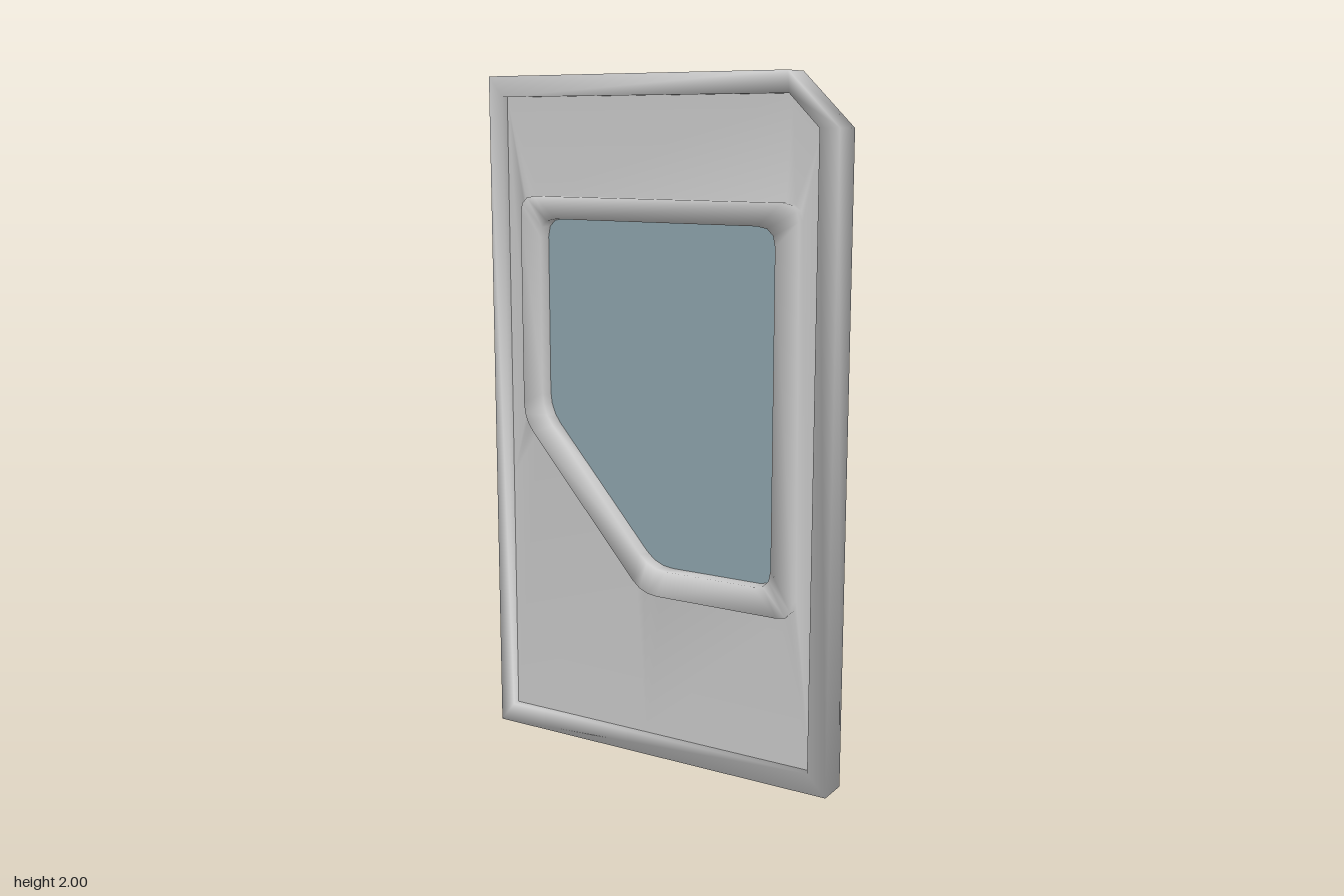
import * as THREE from 'three';

// Skin closed rings of [x, y, z] points (counter-clockwise from the front) with shared smooth normals
function skin(rings, closed) {
  const n = rings[0].length, index = [];
  const bands = closed ? rings.length : rings.length - 1;
  for (let k = 0; k < bands; k++) {
    for (let i = 0; i < n; i++) {
      const j = (i + 1) % n, next = (k + 1) % rings.length;
      const a = k * n + i, b = k * n + j, c = next * n + j, d = next * n + i;
      index.push(a, b, c, a, c, d);
    }
  }
  const geometry = new THREE.BufferGeometry();
  geometry.setAttribute('position', new THREE.Float32BufferAttribute(rings.flat(2), 3));
  geometry.setIndex(index);
  geometry.computeVertexNormals();
  return geometry;
}

const atDepth = (loop, z) => loop.map(([x, y]) => [x, y, z]);

// Round each corner of a polygon; 4 points per corner
function rounded(corners, size) {
  const n = corners.length, loop = [];
  corners.forEach((c, i) => {
    const p = new THREE.Vector2(...c);
    const toward = (q) => new THREE.Vector2(...q).sub(p).setLength(size).add(p);
    const curve = new THREE.QuadraticBezierCurve(
      toward(corners[(i + n - 1) % n]), p, toward(corners[(i + 1) % n]));
    curve.getPoints(3).forEach((v) => loop.push([v.x, v.y]));
  });
  return loop;
}

export function createModel() {
  const door = new THREE.Group();
  door.name = 'door';
  const grey = new THREE.MeshStandardMaterial({ color: 0xcccccc });
  const tinted = new THREE.MeshStandardMaterial({ color: 0x8fa5ad });
  const add = (name, geometry, material) => {
    const mesh = new THREE.Mesh(geometry, material);
    mesh.name = name;
    door.add(mesh);
  };

  const half = 0.047;      // half thickness of the door and window trim
  const recess = 0.023;    // half thickness of the panel

  // Outer frame with one cut corner
  const outer = [[-0.568, 0], [0.568, 0], [0.568, 1.85], [0.415, 2], [-0.568, 2]];
  const inner = [[-0.52, 0.06], [0.51, 0.06], [0.51, 1.85], [0.42, 1.94], [-0.52, 1.94]];
  add('outerFrame', skin([
    atDepth(outer, half), atDepth(inner, half), atDepth(inner, -half), atDepth(outer, -half),
  ], true), grey);

  // Window trim loops: lower left, bottom, lower right, upper right, upper left
  const trimOuter = rounded([[-0.46, 0.985], [-0.04, 0.5], [0.455, 0.5], [0.455, 1.655], [-0.46, 1.655]], 0.05);
  const trimInner = rounded([[-0.39, 1.015], [-0.013, 0.58], [0.385, 0.58], [0.385, 1.59], [-0.39, 1.59]], 0.055);

  // Panel edge points, one for each trim point
  const repeat = (p, count) => Array(count).fill(p);
  const panelEdge = [
    ...repeat([-0.52, 0.8], 3), [-0.52, 0.06],
    ...repeat([-0.04, 0.06], 4),
    ...repeat([0.51, 0.06], 4),
    ...repeat([0.51, 1.85], 2), ...repeat([0.42, 1.94], 2),
    ...repeat([-0.52, 1.94], 4),
  ];

  // Recessed panel flowing into the raised window trim, on both faces
  add('panelAndWindowTrim', skin([
    atDepth(panelEdge, recess), atDepth(trimOuter, recess),
    atDepth(trimOuter, half), atDepth(trimInner, half),
    atDepth(trimInner, -half), atDepth(trimOuter, -half),
    atDepth(trimOuter, -recess), atDepth(panelEdge, -recess),
  ], false), grey);

  // Window pane
  const paneShape = new THREE.Shape(trimInner.map(([x, y]) => new THREE.Vector2(x, y)));
  const pane = new THREE.ExtrudeGeometry(paneShape, { depth: 0.01, bevelEnabled: false });
  pane.translate(0, 0, -0.005);
  add('windowPane', pane, tinted);

  return door;
}
